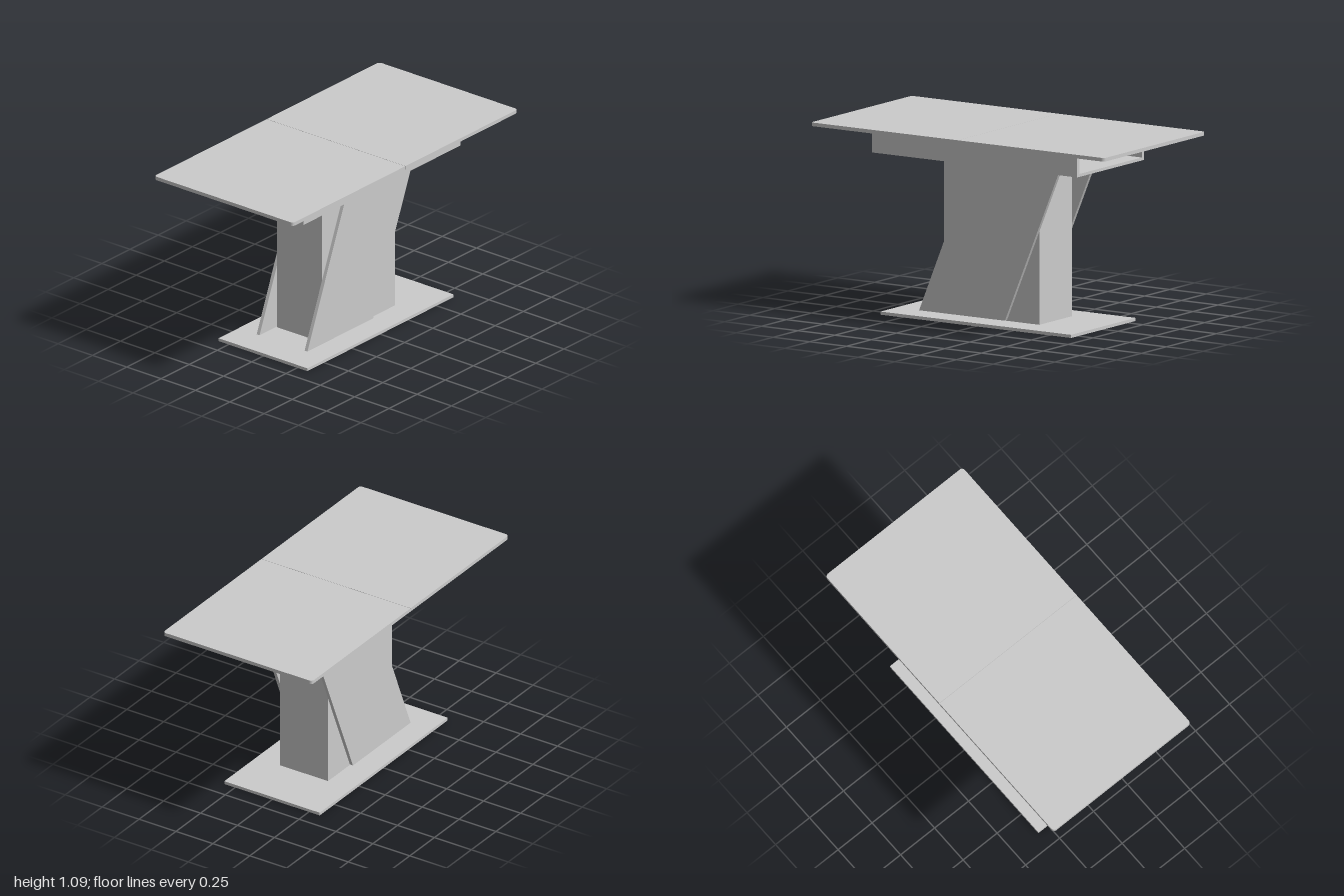
import * as THREE from 'three';

const material = new THREE.MeshStandardMaterial({ color: 0xcccccc, flatShading: true });

export function createModel() {
  const model = new THREE.Group();
  model.name = 'extendingTable';

  const add = (name, geometry) => {
    const mesh = new THREE.Mesh(geometry, material);
    mesh.name = name;
    model.add(mesh);
    return mesh;
  };
  // Box given by its extents on each axis
  const box = (name, x0, x1, y0, y1, z0, z1) =>
    add(name, new THREE.BoxGeometry(x1 - x0, y1 - y0, z1 - z0))
      .position.set((x0 + x1) / 2, (y0 + y1) / 2, (z0 + z1) / 2);

  // Base plate and central column
  box('basePlate', -0.323, 0.323, 0, 0.018, -0.65, 0.65);
  box('column', -0.163, 0.163, 0.018, 0.925, -0.325, 0.325);

  // Slanted panels on both sides of the column (profile x = -z)
  const slant = new THREE.Shape([
    new THREE.Vector2(-0.48, 0.022), new THREE.Vector2(0.105, 0.022),
    new THREE.Vector2(0.48, 0.923), new THREE.Vector2(-0.11, 0.923),
  ]);
  for (const [name, x] of [['leftSlantedPanel', 0.164], ['rightSlantedPanel', -0.185]]) {
    const geometry = new THREE.ExtrudeGeometry(slant, { depth: 0.021, bevelEnabled: false });
    geometry.rotateY(Math.PI / 2);
    add(name, geometry).position.x = x;
  }

  // Open-ended tray under the top, with the spare leaf stored inside
  const tray = new THREE.Shape([
    [-0.335, 0.926], [0.335, 0.926], [0.335, 1.07], [0.311, 1.07],
    [0.311, 0.943], [-0.311, 0.943], [-0.311, 1.07], [-0.335, 1.07],
  ].map(([x, y]) => new THREE.Vector2(x, y)));
  add('tray', new THREE.ExtrudeGeometry(tray, { depth: 1.4, bevelEnabled: false }))
    .position.z = -0.7;
  box('storedLeaf', -0.3, 0.28, 0.962, 0.984, -0.5, 0.5);

  // Two table top halves meeting at the middle, outer corners rounded
  const w = 0.505, r = 0.02, gap = 0.001;
  const half = new THREE.Shape();
  half.moveTo(-w, gap);
  half.lineTo(w, gap);
  half.lineTo(w, 1 - r);
  half.absarc(w - r, 1 - r, r, 0, Math.PI / 2);
  half.lineTo(-w + r, 1);
  half.absarc(-w + r, 1 - r, r, Math.PI / 2, Math.PI);
  half.closePath();
  for (const [name, turn] of [['frontTopHalf', 0], ['backTopHalf', Math.PI]]) {
    const geometry = new THREE.ExtrudeGeometry(half, { depth: 0.021, bevelEnabled: false, curveSegments: 6 });
    geometry.rotateX(Math.PI / 2).rotateY(turn);
    add(name, geometry).position.y = 1.093;
  }

  return model;
}
